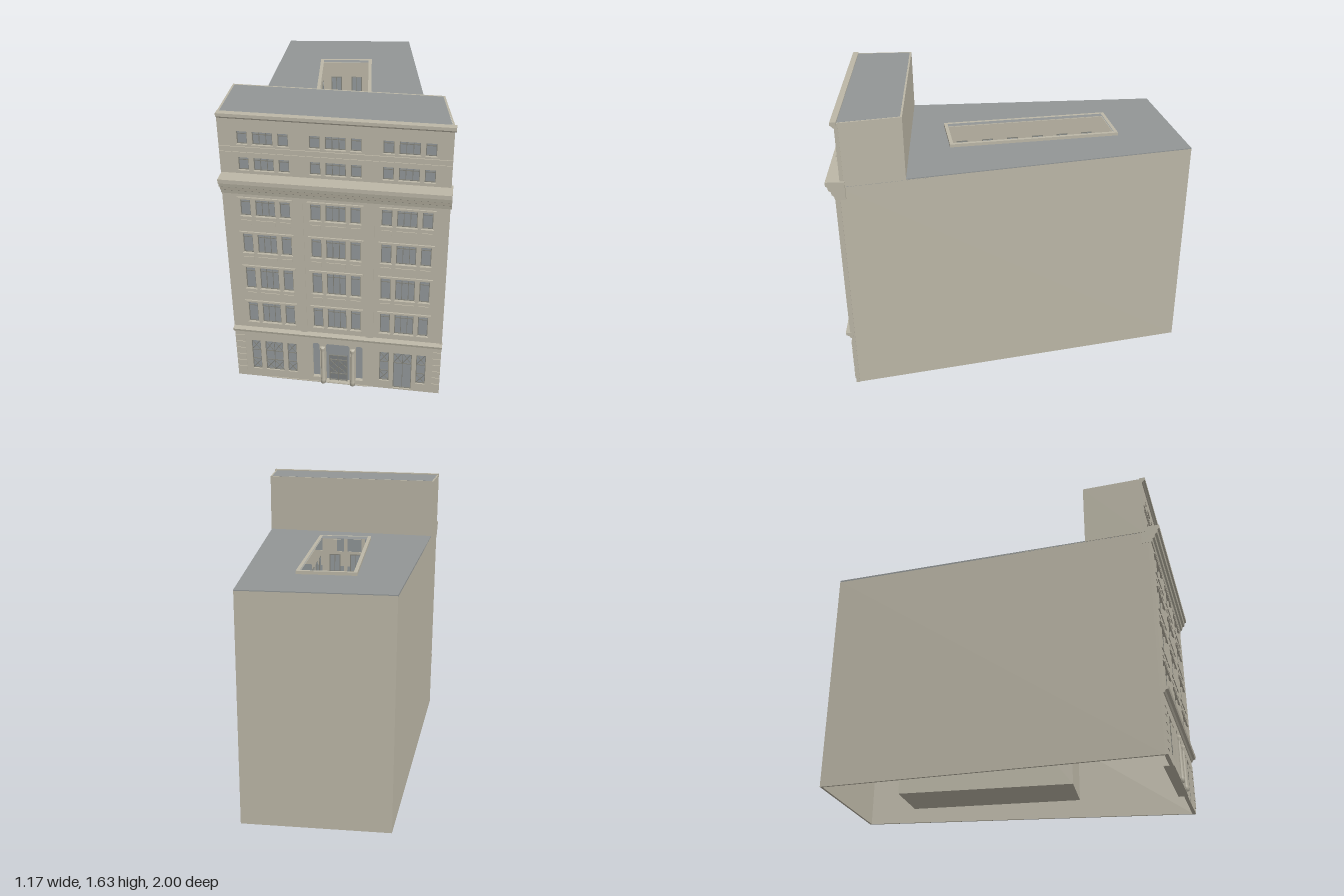
import * as THREE from 'three';

const mat = (name, color) => {
  const m = new THREE.MeshStandardMaterial({ color });
  m.name = name;
  return m;
};

export function createModel() {
  const model = new THREE.Group();
  model.name = 'cityBuilding';
  const stone = mat('stone', 0xbcb7a7);
  const roofGrey = mat('roofGrey', 0x929696);
  const glass = mat('glass', 0x92989a);
  const frame = mat('frame', 0x84847c);
  const doorGrey = mat('doorGrey', 0x7c8081);

  const add = (name, geo, m, parent = model) => {
    const mesh = new THREE.Mesh(geo, m);
    mesh.name = name;
    parent.add(mesh);
    return mesh;
  };
  // Box given by its limits
  const box = (name, x0, x1, y0, y1, z0, z1, m = stone, parent = model) => {
    const mesh = add(name, new THREE.BoxGeometry(x1 - x0, y1 - y0, z1 - z0), m, parent);
    mesh.position.set((x0 + x1) / 2, (y0 + y1) / 2, (z0 + z1) / 2);
    return mesh;
  };
  const poly = (pts) => new THREE.Shape(pts.map(([x, y]) => new THREE.Vector2(x, y)));
  // Plan outline (x, z) raised from y0 to y1, with an optional hole
  const plan = (name, pts, y0, y1, m, hole, parent = model) => {
    const s = poly(pts.map(([x, z]) => [x, -z]));
    if (hole) s.holes.push(poly(hole.map(([x, z]) => [x, -z])));
    const g = new THREE.ExtrudeGeometry(s, { depth: y1 - y0, bevelEnabled: false });
    g.rotateX(-Math.PI / 2).translate(0, y0, 0);
    return add(name, g, m, parent);
  };
  // Moulding: (z, y) section run along x
  const moulding = (name, pts, x0, x1) => {
    const g = new THREE.ExtrudeGeometry(poly(pts), { depth: x1 - x0, bevelEnabled: false });
    g.rotateY(-Math.PI / 2).translate(x1, 0, 0);
    return add(name, g, stone);
  };
  const rect = (x0, x1, y0, y1) => [[x0, y0], [x1, y0], [x1, y1], [x0, y1]];
  // Front wall pierced by openings
  const facade = (name, x0, x1, y0, y1, z, holes) => {
    const s = poly(rect(x0, x1, y0, y1));
    holes.forEach((h) => s.holes.push(poly(h)));
    const g = new THREE.ExtrudeGeometry(s, { depth: 0.02, bevelEnabled: false });
    g.translate(0, 0, z - 0.02);
    add(name, g, stone);
  };
  // Crossed bars filling a rectangle
  const cross = (x0, x1, y0, y1, z, parent) => {
    const w = x1 - x0, h = y1 - y0;
    for (const s of [-1, 1]) {
      const bar = add('crossBar', new THREE.BoxGeometry(Math.hypot(w, h), 0.003, 0.003), frame, parent);
      bar.position.set((x0 + x1) / 2, (y0 + y1) / 2, z);
      bar.rotation.z = s * Math.atan2(h, w);
    }
  };
  // Glazing with surround, mullions, transom and optional crossed panels
  const glazing = (x, w, y0, y1, z, { panes = 1, transom = 0.78, crossed = false, door = false } = {}) => {
    const g = new THREE.Group();
    g.name = 'window';
    model.add(g);
    const a = x - w / 2, b = x + w / 2, t = 0.004, h = y1 - y0, zf = z - 0.008;
    box('glass', a, b, y0, y1, z - 0.016, z - 0.012, glass, g);
    const bar = (p, q, r, s) => box('frame', p, q, r, s, z - 0.012, zf, frame, g);
    bar(a, a + t, y0, y1);
    bar(b - t, b, y0, y1);
    bar(a, b, y0, y0 + t);
    bar(a, b, y1 - t, y1);
    for (let i = 1; i < panes; i++) bar(a + (w * i) / panes - 0.0015, a + (w * i) / panes + 0.0015, y0, y1);
    const ty = y0 + h * transom;
    bar(a, b, ty - 0.002, ty + 0.002);
    if (crossed) {
      const n = w > 0.07 ? 2 : 1;
      if (!door) bar(a, b, y0 + h * 0.32, y0 + h * 0.32 + t);
      for (let i = 0; i < n; i++) {
        const p = a + (w * i) / n, q = p + w / n;
        cross(p, q, ty, y1, zf, g);
        if (!door) cross(p, q, y0, y0 + h * 0.32, zf, g);
      }
    }
  };

  // Side and back walls, open towards the front and below
  plan('sideAndBackWalls', [[-0.548, 0.935], [-0.585, -0.905], [0.21, -1], [0.575, 0.935],
    [0.563, 0.935], [0.2, -0.987], [-0.573, -0.894], [-0.536, 0.935]], 0, 1.275, stone);

  // Courtyard frame of reference
  const cx = -0.099, cz = -0.108, turn = 0.118, cw = 0.15, cl = 0.48;
  const toPlan = (x, z) => [cx + x * Math.cos(turn) + z * Math.sin(turn), cz - x * Math.sin(turn) + z * Math.cos(turn)];
  const ring = (w, l) => [toPlan(-w, -l), toPlan(w, -l), toPlan(w, l), toPlan(-w, l)];
  plan('mainRoof', [[-0.585, -0.905], [0.21, -1], [0.575, 0.935], [-0.548, 0.935]], 1.27, 1.28, roofGrey, ring(cw, cl));
  plan('courtyardWalls', ring(cw + 0.006, cl + 0.006), 0.01, 1.275, stone, ring(cw, cl));
  plan('courtyardFloor', ring(cw, cl), 0.01, 0.018, stone);
  plan('courtyardRim', ring(cw + 0.012, cl + 0.012), 1.275, 1.298, stone, ring(cw - 0.008, cl - 0.008));

  // Courtyard windows, all four sides
  const court = new THREE.Group();
  court.name = 'courtyardWindows';
  court.position.set(cx, 0, cz);
  court.rotation.y = turn;
  model.add(court);
  const floors = [[0.395, 0.53], [0.62, 0.76], [0.85, 0.97], [1.075, 1.175]];
  const sides = [[0, -cl, 0, 2], [0, cl, Math.PI, 2], [-cw, 0, Math.PI / 2, 6], [cw, 0, -Math.PI / 2, 6]];
  for (const [x, z, ry, n] of sides) {
    const wall = new THREE.Group();
    wall.name = 'courtyardWallWindows';
    wall.position.set(x, 0, z);
    wall.rotation.y = ry;
    court.add(wall);
    for (const [y0, y1] of [[0.1, 0.26], ...floors]) for (let i = 0; i < n; i++) {
      const c = (i - (n - 1) / 2) * (n === 2 ? 0.13 : 0.155);
      box('courtyardFrame', c - 0.034, c + 0.034, y0 - 0.005, y1 + 0.005, 0, 0.003, frame, wall);
      for (const s of [-1, 1]) box('courtyardGlass', c + s * 0.015 - 0.013, c + s * 0.015 + 0.013, y0, y1, 0.001, 0.005, glass, wall);
      box('courtyardSill', c - 0.038, c + 0.038, y0 - 0.015, y0 - 0.005, 0, 0.01, stone, wall);
    }
  }

  // Main front: three bays of triple windows on four floors
  const Z = 0.95, AZ = 0.925, bays = [-0.335, 0.018, 0.373];
  const trio = [[-0.1, 0.052, 1], [0, 0.1, 3], [0.1, 0.052, 1]];
  const holes = [], atticHoles = [];
  for (const bx of bays) {
    floors.forEach(([y0, y1], f) => {
      for (const [dx, w, panes] of trio) {
        const x = bx + dx;
        holes.push(rect(x - w / 2, x + w / 2, y0, y1));
        glazing(x, w, y0, y1, Z, { panes });
        box('windowSill', x - w / 2 - 0.005, x + w / 2 + 0.005, y0 - 0.012, y0, Z - 0.01, Z + 0.007);
        if (f > 0) box('spandrelPanel', x - w / 2, x + w / 2, y0 - 0.052, y0 - 0.024, Z, Z + 0.004);
      }
      box('lintel', bx - 0.14, bx + 0.14, y1, y1 + 0.011, Z, Z + 0.008);
    });
    // Upper storey windows
    for (const [y0, y1] of [[1.325, 1.395], [1.468, 1.537]]) for (const [dx, w, panes] of trio) {
      const x = bx + dx;
      atticHoles.push(rect(x - w / 2, x + w / 2, y0, y1));
      glazing(x, w, y0, y1, AZ, { panes });
      box('atticSill', x - w / 2 - 0.003, x + w / 2 + 0.003, y0 - 0.007, y0, AZ, AZ + 0.005);
    }
  }
  // Ground floor windows and side door
  for (const bx of [bays[0], bays[2]]) for (const [dx, w] of trio) {
    const door = bx > 0 && dx === 0, x = bx + dx, y0 = door ? 0.008 : 0.055;
    holes.push(rect(x - w / 2, x + w / 2, y0, 0.26));
    glazing(x, w, y0, 0.26, Z, { panes: w > 0.07 ? 2 : 1, transom: door ? 0.7 : 0.64, crossed: true, door });
  }
  // Entrance: three openings with clipped top corners, grey back, door and columns
  for (const [a, b, y0] of [[-0.12, -0.08, 0.035], [-0.048, 0.084, 0.006], [0.116, 0.156, 0.035]]) {
    const c = 0.01;
    holes.push([[a, y0], [b, y0], [b, 0.28 - c], [b - c, 0.28], [a + c, 0.28], [a, 0.28 - c]]);
  }
  box('entranceBack', -0.13, 0.166, 0.004, 0.29, Z - 0.034, Z - 0.028, glass);
  box('entranceDoor', -0.032, 0.068, 0.006, 0.19, Z - 0.028, Z - 0.02, doorGrey);
  for (const x of [-0.032, 0.016, 0.064]) box('doorStile', x, x + 0.004, 0.006, 0.19, Z - 0.02, Z - 0.015, frame);
  for (const y of [0.01, 0.055, 0.155, 0.186]) box('doorRail', -0.032, 0.068, y, y + 0.004, Z - 0.02, Z - 0.015, frame);
  for (const [a, b] of [[-0.028, 0.016], [0.02, 0.064]]) {
    cross(a, b, 0.06, 0.105, Z - 0.017, model);
    cross(a, b, 0.105, 0.155, Z - 0.017, model);
  }
  const shaft = new THREE.LatheGeometry([[0, 0], [0.014, 0], [0.014, 0.025], [0.011, 0.032], [0.0085, 0.225],
    [0.011, 0.235], [0.014, 0.25], [0.014, 0.258], [0, 0.258]].map(([r, y]) => new THREE.Vector2(r, y)), 16);
  for (const x of [-0.064, 0.1]) add('entranceColumn', shaft, stone).position.set(x, 0.004, Z + 0.003);
  box('entranceStep', -0.37, 0.185, 0, 0.005, Z - 0.05, Z + 0.004);

  facade('frontWall', -0.548, 0.578, 0, 1.275, Z, holes);
  facade('atticFrontWall', -0.552, 0.576, 1.275, 1.625, AZ, atticHoles);

  // Pilaster strips, corner blocks and bands
  for (const [a, b] of [[-0.18, -0.143], [0.173, 0.212], [0.566, 0.578]]) box('pilaster', a, b, 0.355, 1.205, Z, Z + 0.006);
  for (let i = 0; i < 6; i++) for (const [a, b] of [[-0.546, -0.495], [0.535, 0.578]])
    box('cornerBlock', a, b, 0.03 + i * 0.045, 0.067 + i * 0.045, Z, Z + 0.004);
  moulding('belt', [[0.94, 0.322], [0.955, 0.322], [0.962, 0.335], [0.976, 0.34], [0.98, 0.355], [0.94, 0.358]], -0.548, 0.581);
  moulding('mainCornice', [[0.9, 1.205], [0.956, 1.205], [0.96, 1.225], [0.97, 1.232], [0.974, 1.25],
    [0.986, 1.258], [0.99, 1.278], [1, 1.284], [1, 1.306], [0.9, 1.306]], -0.55, 0.584);
  box('atticBand', -0.55, 0.577, 1.447, 1.455, AZ, AZ + 0.005);
  box('atticUpperBand', -0.55, 0.577, 1.42, 1.425, AZ, AZ + 0.004);
  moulding('atticCoping', [[0.912, 1.605], [0.93, 1.605], [0.936, 1.615], [0.944, 1.618], [0.944, 1.635], [0.912, 1.635]], -0.55, 0.584);

  // Set-back top storey
  const outer = [[-0.557, 0.59], [0.513, 0.59], [0.576, 0.91], [-0.552, 0.91]];
  const inner = [[-0.547, 0.6], [0.505, 0.6], [0.564, 0.9], [-0.542, 0.9]];
  plan('atticWalls', outer, 1.275, 1.628, stone, inner);
  plan('atticRoof', [inner[0], inner[1], [0.566, 0.914], [-0.542, 0.914]], 1.615, 1.6285, roofGrey);
  return model;
}
